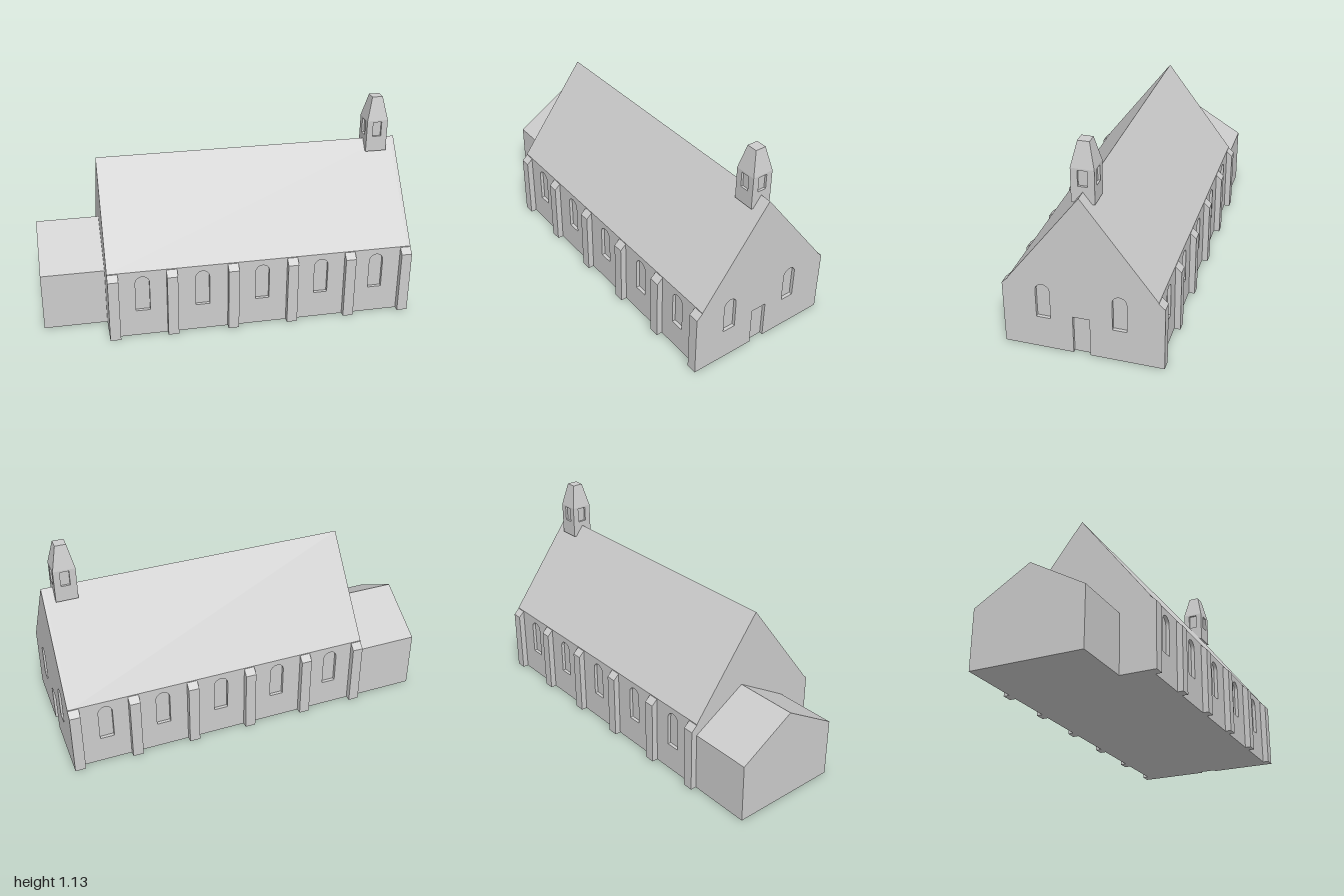
import * as THREE from 'three';

export function createModel() {
  const model = new THREE.Group();
  const stone = new THREE.MeshStandardMaterial({ color: 0xcccccc });
  stone.name = 'pale stone';

  const add = (name, geometry, x = 0, y = 0, z = 0, parent = model) => {
    const mesh = new THREE.Mesh(geometry, stone);
    mesh.name = name;
    mesh.position.set(x, y, z);
    parent.add(mesh);
    return mesh;
  };
  const outline = (pts) => new THREE.Shape(pts.map((p) => new THREE.Vector2(...p)));
  const extrude = (shape, depth) =>
    new THREE.ExtrudeGeometry(shape, { depth, bevelEnabled: false, curveSegments: 10 });
  // Shape drawn as (-z, y), extruded along x
  const alongX = (shape, depth) => extrude(shape, depth).rotateY(Math.PI / 2);

  // Round-headed window opening
  const archHole = (cx, bottom, top, width) => {
    const r = width / 2;
    const p = new THREE.Path();
    p.moveTo(cx - r, bottom);
    p.lineTo(cx + r, bottom);
    p.lineTo(cx + r, top - r);
    p.absarc(cx, top - r, r, 0, Math.PI, false);
    p.lineTo(cx - r, bottom);
    return p;
  };

  const W = 0.38, EAVE = 0.385, RIDGE = 0.885, X0 = -0.66, T = 0.018, X1 = 1 - T;

  // Nave core, set back so that the openings read as recesses
  add('naveCore', new THREE.BoxGeometry(X1 - X0, EAVE, 2 * (W - T)), (X0 + X1) / 2, EAVE / 2, 0);
  add('naveRoof', alongX(outline([[-W, EAVE], [W, EAVE], [0, RIDGE]]), X1 - X0), X0);

  // Long walls with five windows each
  const sideWall = outline([[X0, 0], [X1, 0], [X1, EAVE], [X0, EAVE]]);
  for (const x of [-0.476, -0.155, 0.171, 0.497, 0.808]) {
    sideWall.holes.push(archHole(x, 0.15, 0.353, 0.076));
  }
  add('frontWall', extrude(sideWall, T), 0, 0, W - T);
  add('backWall', extrude(sideWall, T), 0, 0, -W);

  // Entrance gable with a door notch and two windows
  const gable = outline([
    [-W, 0], [-0.052, 0], [-0.052, 0.214], [0.035, 0.214], [0.035, 0],
    [W, 0], [W, EAVE], [0, RIDGE], [-W, EAVE],
  ]);
  for (const u of [-0.203, 0.187]) gable.holes.push(archHole(u, 0.18, 0.375, 0.073));
  add('entranceGable', alongX(gable, T), X1);

  // Buttresses with sloping caps
  for (const side of [-1, 1]) {
    const profile = outline([
      [side * 0.37, 0], [side * 0.412, 0], [side * 0.412, 0.35], [side * W, 0.38], [side * 0.37, 0.38],
    ]);
    for (const x of [-0.66, -0.348, -0.019, 0.306, 0.627, 0.943]) {
      add('buttress', alongX(profile, 0.057), x);
    }
  }

  // Low annex with its own gabled roof, off centre to the back
  add('annex', alongX(outline([
    [-0.22, 0], [0.38, 0], [0.38, 0.32], [0.08, 0.5], [-0.22, 0.32],
  ]), 0.34), -1);

  // Bell turret on the ridge
  const turret = new THREE.Group();
  turret.name = 'bellTurret';
  turret.position.set(0.881, 0.826, 0);
  model.add(turret);
  const H = 0.058, D = 0.012, TH = 0.177;
  add('turretCore', new THREE.BoxGeometry(2 * (H - D), TH, 2 * (H - D)), 0, TH / 2, 0, turret);
  for (let i = 0; i < 4; i++) {
    const half = i % 2 ? H - D : H;
    const panel = outline([[-half, 0], [half, 0], [half, TH], [-half, TH]]);
    panel.holes.push(new THREE.Path([[-0.024, 0.086], [0.024, 0.086], [0.024, 0.168], [-0.024, 0.168]]
      .map((p) => new THREE.Vector2(...p))));
    const geometry = extrude(panel, D).translate(0, 0, H - D).rotateY(i * Math.PI / 2);
    add('turretWall', geometry, 0, 0, 0, turret);
  }
  // Truncated pyramid cap
  const spire = new THREE.CylinderGeometry(0.029 * Math.SQRT2, H * Math.SQRT2, 0.128, 4)
    .rotateY(Math.PI / 4).toNonIndexed();
  spire.computeVertexNormals();
  add('turretSpire', spire, 0, TH + 0.064, 0, turret);

  return model;
}
